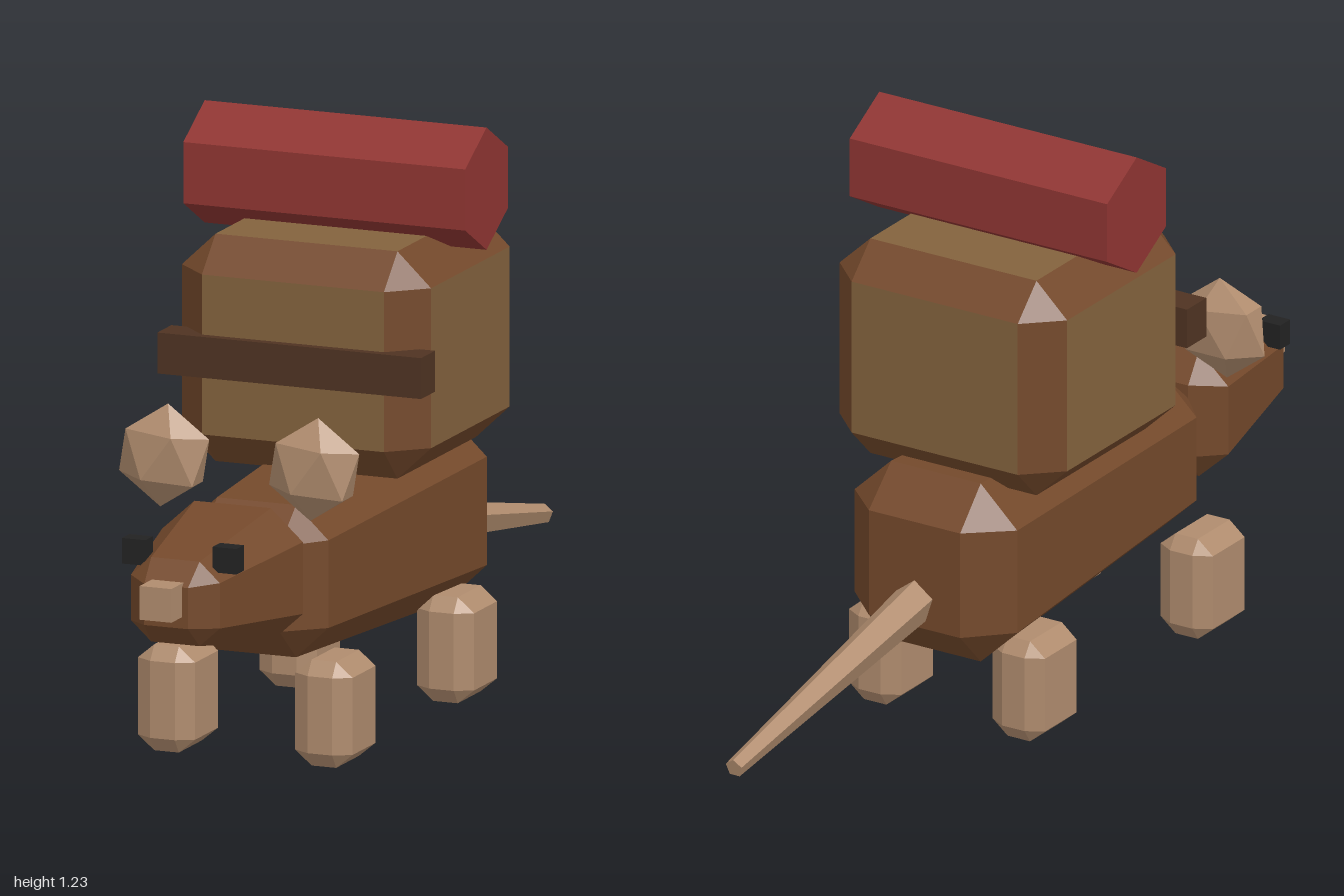
import * as THREE from 'three';
import { ConvexGeometry } from 'three/addons/geometries/ConvexGeometry.js';

const mat = (color) => new THREE.MeshStandardMaterial({ color, flatShading: true, roughness: 0.9 });

// Box with cut edges and corners; half sizes h, cuts b, front end scaled by taper
function chamferBox(h, b, taper = 1) {
  const points = [];
  for (const sx of [-1, 1]) for (const sy of [-1, 1]) for (const sz of [-1, 1]) {
    for (let full = 0; full < 3; full++) {
      const [x, y, z] = h.map((v, i) => (i === full ? v : v - b[i]));
      const s = THREE.MathUtils.lerp(1, taper, (sz * z / h[2] + 1) / 2);
      points.push(new THREE.Vector3(sx * x * s, sy * y * s, sz * z));
    }
  }
  return new ConvexGeometry(points);
}

// Material 0 for faces along the axes, material 1 for the cut edges
function splitFaces(geo) {
  const n = geo.attributes.normal;
  for (let i = 0; i < n.count; i += 3) {
    const flat = Math.max(Math.abs(n.getX(i)), Math.abs(n.getY(i)), Math.abs(n.getZ(i))) > 0.98;
    geo.addGroup(i, 3, flat ? 0 : 1);
  }
  return geo;
}

// Icosahedron standing on one corner
function uprightIcosahedron() {
  const points = [new THREE.Vector3(0, 1, 0), new THREE.Vector3(0, -1, 0)];
  for (let i = 0; i < 5; i++) {
    const a = i * Math.PI * 0.4;
    const x = 0.894 * Math.cos(a), z = 0.894 * Math.sin(a);
    points.push(new THREE.Vector3(x, 0.447, z), new THREE.Vector3(-x, -0.447, -z));
  }
  return new ConvexGeometry(points);
}

export function createModel() {
  const model = new THREE.Group();
  const brown = mat(0x74492b), khaki = mat(0x83623d), tan = mat(0xb08c6e);
  const darkBrown = mat(0x4f3322), red = mat(0x8f3532), black = mat(0x222222);

  const add = (name, geo, material, x, y, z) => {
    const mesh = new THREE.Mesh(geo, material);
    mesh.name = name;
    mesh.position.set(x, y, z);
    model.add(mesh);
    return mesh;
  };

  // Body and head, both narrowing to the front
  add('body', chamferBox([0.2, 0.2, 0.443], [0.09, 0.085, 0.08], 0.77), brown, 0, 0.365, 0.118);
  add('head', chamferBox([0.164, 0.147, 0.195], [0.075, 0.068, 0.048], 0.54), brown, 0, 0.404, 0.751);
  add('nose', new THREE.BoxGeometry(0.07, 0.07, 0.08), tan, 0, 0.42, 0.96);

  // Paired parts
  const legGeo = chamferBox([0.063, 0.11, 0.08], [0.036, 0.03, 0.021]);
  const earGeo = uprightIcosahedron();
  const eyeGeo = new THREE.BoxGeometry(0.052, 0.053, 0.038);
  for (const [side, s] of [['left', 1], ['right', -1]]) {
    add(side + 'FrontLeg', legGeo, tan, s * 0.173, 0.11, 0.48);
    add(side + 'BackLeg', legGeo, tan, s * 0.173, 0.11, -0.145);
    add(side + 'Eye', eyeGeo, black, s * 0.1, 0.494, 0.86);
    const ear = add(side + 'Ear', earGeo, tan, s * 0.165, 0.623, 0.57);
    ear.scale.set(0.107, 0.108, 0.053);
    ear.rotation.z = -0.08;
  }

  // Tail, sloping down behind the body
  const tailStart = new THREE.Vector3(0, 0.317, -0.26), tailEnd = new THREE.Vector3(0, 0.18, -0.997);
  const tailDir = tailEnd.clone().sub(tailStart);
  const tail = add('tail', new THREE.CylinderGeometry(0.02, 0.048, tailDir.length(), 5), tan, 0, 0, 0);
  tail.position.copy(tailStart).lerp(tailEnd, 0.5);
  tail.quaternion.setFromUnitVectors(new THREE.Vector3(0, 1, 0), tailDir.normalize());

  // Backpack with strap and bedroll
  const packGeo = splitFaces(chamferBox([0.274, 0.236, 0.272], [0.074, 0.07, 0.07]));
  add('backpack', packGeo, [khaki, brown], 0, 0.769, 0.022);
  add('strap', new THREE.BoxGeometry(0.58, 0.085, 0.072), darkBrown, 0, 0.768, 0.277);
  const rollGeo = new THREE.CylinderGeometry(0.127, 0.127, 0.62, 6, 1, false, Math.PI / 6);
  const roll = add('bedroll', rollGeo, red, 0, 1.102, 0.023);
  roll.rotation.z = Math.PI / 2;

  return model;
}
